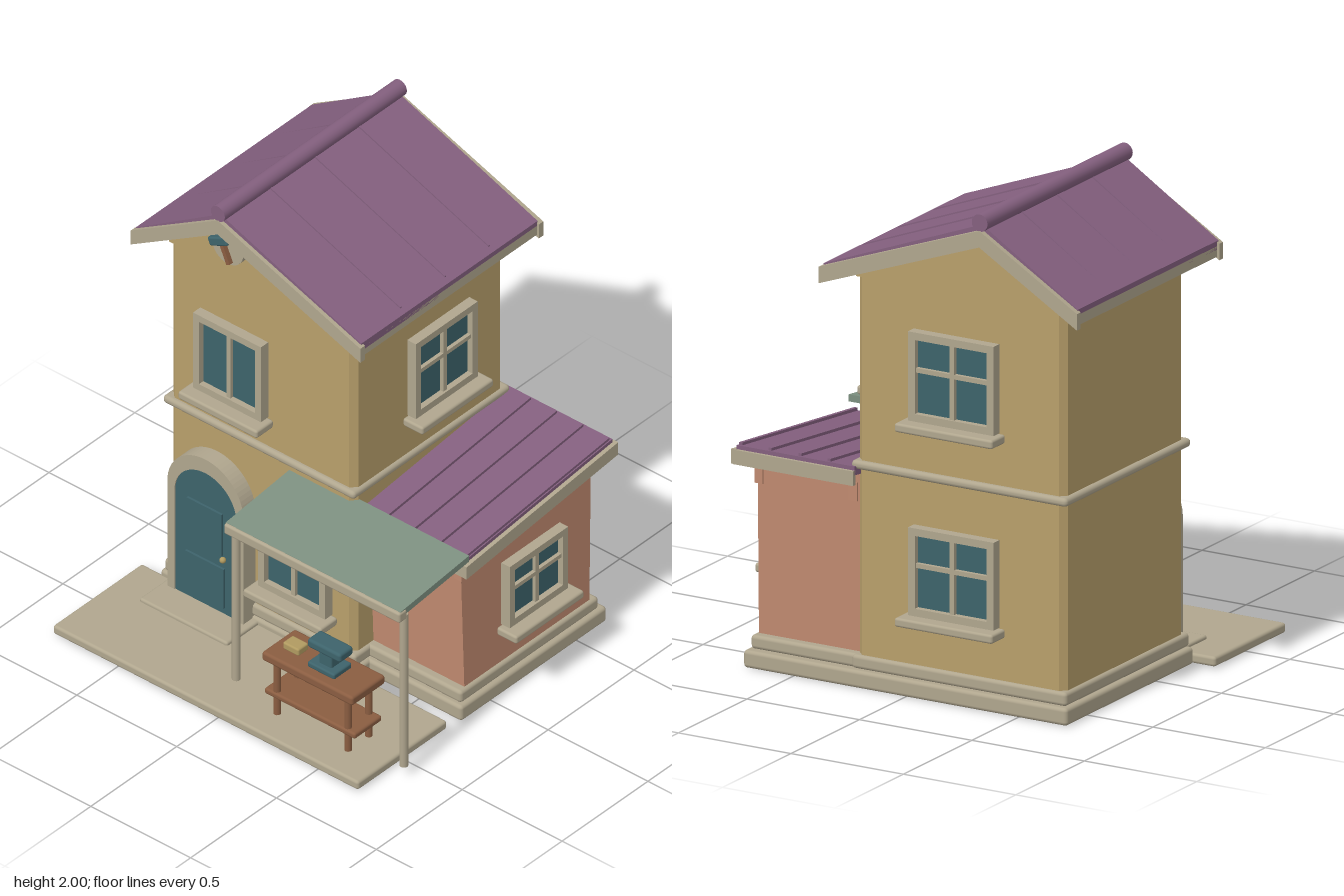
import * as THREE from 'three';
import { RoundedBoxGeometry } from 'three/addons/geometries/RoundedBoxGeometry.js';

const mat = (name, color) => Object.assign(new THREE.MeshStandardMaterial({ color }), { name });

export function createModel() {
  const wall = mat('ochre plaster', 0xb89f6b);
  const pink = mat('pink plaster', 0xc08a70);
  const stone = mat('pale stone', 0xb0a68e);
  const purple = mat('purple roof', 0x84607f);
  const teal = mat('dark teal', 0x3d636b);
  const green = mat('awning green', 0x7d9080);
  const wood = mat('brown wood', 0x8a5d41);
  const brass = mat('brass', 0xb09a60);

  const root = new THREE.Group();
  root.name = 'house';

  const add = (name, geo, m, parent = root) => {
    const mesh = new THREE.Mesh(geo, m);
    mesh.name = name;
    parent.add(mesh);
    return mesh;
  };
  // box given by its limits; r rounds the edges
  const box = (name, m, [x0, x1], [y0, y1], [z0, z1], r = 0, parent = root) => {
    const w = x1 - x0, h = y1 - y0, d = z1 - z0;
    const geo = r ? new RoundedBoxGeometry(w, h, d, 2, r) : new THREE.BoxGeometry(w, h, d);
    const mesh = add(name, geo, m, parent);
    mesh.position.set((x0 + x1) / 2, (y0 + y1) / 2, (z0 + z1) / 2);
    return mesh;
  };
  const shapeOf = (pts) => new THREE.Shape(pts.map(([x, y]) => new THREE.Vector2(x, y)));
  const extrude = (shape, depth) =>
    new THREE.ExtrudeGeometry(shape, { depth, bevelEnabled: false, curveSegments: 16 });
  // (x, y) outline pulled from z0 to z1
  const alongZ = (name, m, pts, z0, z1) =>
    add(name, extrude(shapeOf(pts), z1 - z0).translate(0, 0, z0), m);
  // (z, y) outline pulled from x0 to x1
  const alongX = (name, m, pts, x0, x1) =>
    add(name, extrude(shapeOf(pts.map(([z, y]) => [-z, y])), x1 - x0).rotateY(Math.PI / 2).translate(x0, 0, 0), m);
  // sloping slab between two (z, top y) points
  const slope = (name, m, x0, x1, [za, ya], [zb, yb], t) =>
    alongX(name, m, [[za, ya - t], [zb, yb - t], [zb, yb], [za, ya]], x0, x1);
  // tower outline with chamfered corners, extruded upwards
  const tower = (name, m, [x0, x1], [z0, z1], c, y0, y1) => {
    const pts = [[x0 + c, z0], [x1 - c, z0], [x1, z0 + c], [x1, z1 - c],
      [x1 - c, z1], [x0 + c, z1], [x0, z1 - c], [x0, z0 + c]].map(([x, z]) => [x, -z]);
    return add(name, extrude(shapeOf(pts), y1 - y0).rotateX(-Math.PI / 2).translate(0, y0, 0), m);
  };

  // ground and plinths
  box('frontPaving', stone, [-0.82, 0.71], [0.005, 0.045], [0.25, 0.77], 0.012);
  box('doorStep', stone, [-0.67, -0.23], [0.03, 0.06], [0.24, 0.44], 0.01);
  box('mainBase', stone, [-0.72, 0.26], [0, 0.07], [-0.67, 0.26], 0.015);
  box('mainPlinth', stone, [-0.705, 0.25], [0.07, 0.125], [-0.65, 0.255], 0.015);
  box('annexBase', stone, [0.2, 0.72], [0, 0.07], [-0.67, 0.18], 0.015);
  box('annexPlinth', stone, [0.2, 0.705], [0.07, 0.125], [-0.64, 0.165], 0.015);

  // main block
  tower('mainWalls', wall, [-0.69, 0.235], [-0.635, 0.24], 0.025, 0.06, 1.64);
  box('beltCourse', stone, [-0.71, 0.25], [0.865, 0.9], [-0.655, 0.26], 0.016);
  alongZ('gable', wall, [[-0.69, 1.63], [0.235, 1.63], [0.235, 1.685], [-0.37, 1.918], [-0.69, 1.712]], -0.638, 0.244);

  // main roof with uneven slopes
  const ridgeX = -0.37;
  const chevron = (xl, xr, ye, yr, t) =>
    [[xl, ye - t], [ridgeX, yr - t], [xr, ye - t], [xr, ye], [ridgeX, yr], [xl, ye]];
  alongZ('roofSheets', purple, chevron(-0.795, 0.335, 1.685, 1.955, 0.035), -0.712, 0.315);
  for (const [z0, z1] of [[0.305, 0.332], [-0.734, -0.707]])
    alongZ('bargeBoard', stone, chevron(-0.805, 0.345, 1.675, 1.935, 0.066), z0, z1);
  box('leftEaveBoard', stone, [-0.795, -0.775], [1.622, 1.664], [-0.71, 0.31]);
  box('rightEaveBoard', stone, [0.315, 0.335], [1.622, 1.664], [-0.71, 0.31]);
  const ridge = add('ridgeCap', new THREE.CylinderGeometry(0.035, 0.035, 1.06, 20), purple);
  ridge.rotation.x = Math.PI / 2;
  ridge.position.set(ridgeX, 1.965, -0.2);
  for (const z of [-0.46, -0.205, 0.055])
    alongZ('roofSeam', purple, chevron(-0.77, 0.31, 1.7, 1.962, 0.02), z - 0.004, z + 0.004);

  // annex with a lean-to roof
  alongX('annexWalls', pink, [[0.125, 0.06], [0.15, 0.755], [-0.61, 0.84], [-0.6, 0.06]], 0.22, 0.69);
  for (const x of [0.245, 0.665])
    slope('annexFrieze', pink, x, x + 0.037, [0.158, 0.72], [-0.615, 0.8], 0.075);
  const roofA = [0.192, 0.79], roofB = [-0.665, 0.88];
  slope('annexRoof', purple, 0.225, 0.75, roofA, roofB, 0.035);
  for (const x of [0.345, 0.475, 0.607, 0.738])
    slope('annexRib', purple, x - 0.007, x + 0.007, [0.185, 0.803], [-0.655, 0.89], 0.03);
  slope('annexSideFascia', stone, 0.742, 0.768, [0.205, 0.773], [-0.678, 0.866], 0.058);
  box('annexFrontFascia', stone, [0.235, 0.76], [0.715, 0.771], [0.185, 0.205]);
  box('annexBackFascia', stone, [0.225, 0.76], [0.806, 0.864], [-0.678, -0.658]);

  // windows: built facing +z, base at the sill top
  const makeWindow = (name, w, h, crossBar, [x, y, z], turn = 0) => {
    const g = new THREE.Group();
    g.name = name;
    const b = 0.03, d = 0.043;
    const frame = shapeOf([[-w / 2, 0], [w / 2, 0], [w / 2, h], [-w / 2, h]]);
    frame.holes.push(new THREE.Path([[-w / 2 + b, b], [-w / 2 + b, h - b], [w / 2 - b, h - b], [w / 2 - b, b]]
      .map(([px, py]) => new THREE.Vector2(px, py))));
    add('windowFrame', extrude(frame, d), stone, g);
    box('windowGlass', teal, [-w / 2 + b, w / 2 - b], [b, h - b], [0.01, 0.018], 0, g);
    box('mullion', stone, [-0.01, 0.01], [b, h - b], [0.012, 0.034], 0, g);
    if (crossBar) box('crossBar', stone, [-w / 2 + b, w / 2 - b], [h * 0.57 - 0.009, h * 0.57 + 0.009], [0.012, 0.034], 0, g);
    box('windowSill', stone, [-w / 2 - 0.028, w / 2 + 0.028], [-0.036, 0], [0, 0.1], 0.01, g);
    g.position.set(x, y, z);
    g.rotation.y = turn;
    root.add(g);
  };
  makeWindow('upperFrontWindow', 0.34, 0.355, false, [-0.335, 1.07, 0.275]);
  makeWindow('lowerFrontWindow', 0.335, 0.36, false, [-0.012, 0.29, 0.275]);
  makeWindow('upperRightWindow', 0.36, 0.355, true, [0.265, 1.115, -0.215], Math.PI / 2);
  makeWindow('annexWindow', 0.34, 0.29, true, [0.718, 0.333, -0.225], Math.PI / 2);
  makeWindow('upperBackWindow', 0.38, 0.355, true, [-0.23, 1.12, -0.668], Math.PI);
  makeWindow('lowerBackWindow', 0.38, 0.35, true, [-0.23, 0.345, -0.668], Math.PI);

  // arched door
  const doorX = -0.45;
  const arch = (r, spring) => {
    const s = new THREE.Shape();
    s.moveTo(-r, 0.06);
    s.lineTo(r, 0.06);
    s.lineTo(r, spring);
    s.absarc(0, spring, r, 0, Math.PI, false);
    s.lineTo(-r, 0.06);
    return s;
  };
  const surround = arch(0.19, 0.56);
  surround.holes.push(arch(0.155, 0.53));
  add('doorSurround', extrude(surround, 0.075), stone).position.set(doorX, 0, 0.235);
  add('door', extrude(arch(0.156, 0.53), 0.07), teal).position.set(doorX, 0, 0.235);
  box('upperDoorPanel', teal, [-0.54, -0.365], [0.335, 0.53], [0.3, 0.315]);
  box('lowerDoorPanel', teal, [-0.548, -0.355], [0.09, 0.275], [0.3, 0.315]);
  add('doorKnob', new THREE.SphereGeometry(0.013, 12, 8), brass).position.set(-0.35, 0.33, 0.325);

  // round gable plaque with a hammer
  const plaque = add('gablePlaque', new THREE.CylinderGeometry(0.078, 0.078, 0.03, 32), stone);
  plaque.rotation.x = Math.PI / 2;
  plaque.position.set(-0.37, 1.775, 0.258);
  const hammer = new THREE.Group();
  hammer.name = 'hammer';
  box('hammerHandle', wood, [-0.009, 0.009], [-0.105, 0], [0, 0.02], 0, hammer);
  box('hammerHead', teal, [-0.048, 0.048], [-0.019, 0.019], [-0.005, 0.035], 0.008, hammer);
  hammer.position.set(-0.39, 1.812, 0.278);
  hammer.rotation.z = 0.42;
  root.add(hammer);

  // awning on two posts
  slope('awningSheet', green, -0.09, 0.785, [0.61, 0.798], [0.21, 0.84], 0.028);
  box('awningBeam', stone, [-0.092, 0.79], [0.75, 0.797], [0.575, 0.622], 0.01);
  for (const x of [-0.07, 0.77])
    add('awningPost', new THREE.CylinderGeometry(0.017, 0.017, 0.72, 14), stone).position.set(x, 0.405, 0.572);

  // workbench
  box('benchTop', wood, [0.14, 0.595], [0.29, 0.332], [0.475, 0.67], 0.012);
  box('benchShelf', wood, [0.14, 0.595], [0.125, 0.152], [0.495, 0.655], 0.01);
  for (const x of [0.19, 0.545]) for (const z of [0.515, 0.635])
    add('benchLeg', new THREE.CylinderGeometry(0.015, 0.015, 0.26, 12), wood).position.set(x, 0.172, z);

  // anvil and small block on the bench
  box('anvilFoot', teal, [0.335, 0.47], [0.332, 0.358], [0.525, 0.63], 0.008);
  box('anvilWaist', teal, [0.37, 0.435], [0.35, 0.415], [0.545, 0.605], 0.008);
  box('anvilFace', teal, [0.32, 0.487], [0.41, 0.45], [0.535, 0.615], 0.012);
  box('brassBlock', brass, [0.19, 0.27], [0.332, 0.365], [0.545, 0.605], 0.008);

  return root;
}
